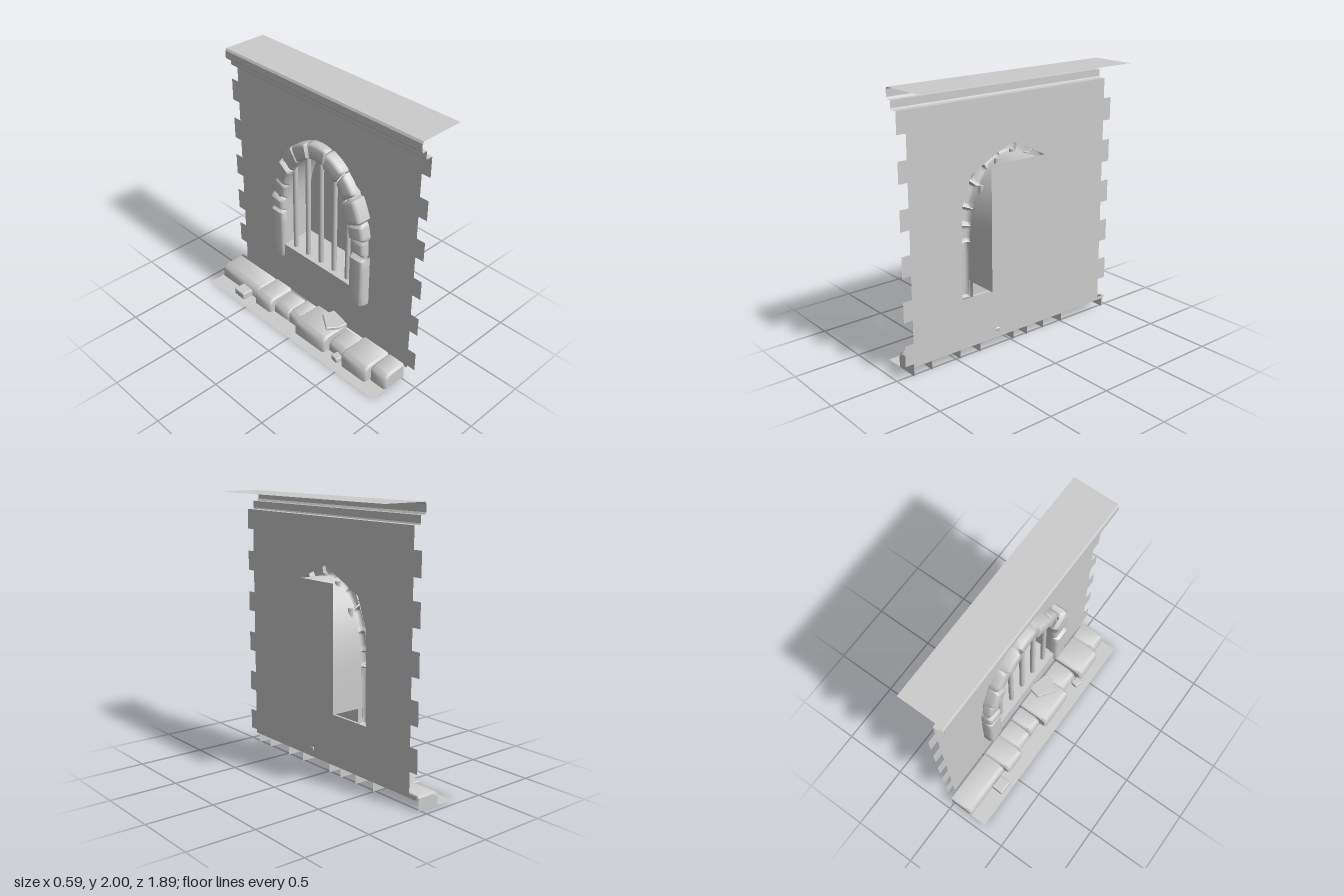
import * as THREE from 'three';
import { toCreasedNormals } from 'three/addons/utils/BufferGeometryUtils.js';
import { RoundedBoxGeometry } from 'three/addons/geometries/RoundedBoxGeometry.js';

const grey = new THREE.MeshStandardMaterial({ color: 0xcccccc, side: THREE.DoubleSide });
const WALL_X = 0.04, MID_Z = 0.01, SPRING = 0.86;

function add(parent, name, geometry) {
  const mesh = new THREE.Mesh(geometry, grey);
  mesh.name = name;
  parent.add(mesh);
  return mesh;
}

// Skin between successive rows of [x, y, z] points
function loft(rows, crease = 0.6) {
  const n = rows[0].length, index = [];
  for (let r = 0; r < rows.length - 1; r++) {
    for (let i = 0; i < n - 1; i++) {
      const a = r * n + i, b = a + n;
      index.push(a, b, a + 1, b, b + 1, a + 1);
    }
  }
  const g = new THREE.BufferGeometry();
  g.setAttribute('position', new THREE.Float32BufferAttribute(rows.flat(2), 3));
  g.setIndex(index);
  g.computeVertexNormals();
  return toCreasedNormals(g, crease);
}

// Turn a flat (z, y) drawing so that it faces -x
const faceOut = (g, x) => g.rotateY(-Math.PI / 2).translate(x, 0, 0);

// Stilted arch: u < 0 or u > PI follows the jambs, 0..PI the curve (from +z to -z)
function archPoint(u, a, b, foot) {
  if (u < 0) return [MID_Z + a, SPRING + u * (SPRING - foot)];
  if (u > Math.PI) return [MID_Z - a, SPRING - (u - Math.PI) * (SPRING - foot)];
  return [MID_Z + a * Math.cos(u), SPRING + b * Math.sin(u)];
}

function buildWall(group) {
  const s = new THREE.Shape();
  const steps = [1.71, 1.54, 1.39, 1.22, 1.07, 0.9, 0.75, 0.58, 0.43, 0.26, 0.106];
  s.moveTo(0.95, 1.86);
  // Interlocking toothed sides
  let z = 0.95;
  for (const y of steps) {
    s.lineTo(z, y);
    z = z === 0.95 ? 0.88 : 0.95;
    s.lineTo(z, y);
  }
  s.lineTo(z, 0.08);
  s.lineTo(-0.945, 0.08);
  z = -0.945;
  for (const y of [...steps].reverse()) {
    s.lineTo(z, y);
    z = z === -0.945 ? -0.875 : -0.945;
    s.lineTo(z, y);
  }
  s.lineTo(-0.875, 1.86);
  // Window hole
  const hole = [[0.465, 0.46], [0.46, 0.86], [0.45, 1.14], [0.37, 1.35], [0.15, 1.46], [0.01, 1.52],
    [-0.13, 1.46], [-0.35, 1.35], [-0.43, 1.14], [-0.44, 0.86], [-0.445, 0.46]];
  s.holes.push(new THREE.Path(hole.map(p => new THREE.Vector2(...p))));
  add(group, 'wall', faceOut(new THREE.ShapeGeometry(s), WALL_X));
}

function buildCornice(group) {
  const profile = [[WALL_X, 1.86], [-0.01, 1.86], [-0.015, 1.87], [-0.015, 1.92], [-0.05, 1.92],
    [-0.06, 1.935], [-0.06, 1.985], [-0.05, 2], [0.29, 2]];
  add(group, 'cornice', loft([0.95, -0.875].map(z => profile.map(([x, y]) => [x, y, z])), 0.3));
}

function buildWindow(group) {
  const frame = new THREE.Group();
  frame.name = 'windowFrame';
  group.add(frame);

  // Each block: start, end, protrusion, extra outer width
  const blocks = [[-1, -0.02, 0.045, 0], [0, 0.19, 0.025, -0.015], [0.2, 0.4, 0.045, 0.01],
    [0.41, 0.71, 0.07, 0.035], [0.72, 1.0, 0.03, 0], [1.01, 1.36, 0.045, 0.01],
    [1.37, 1.77, 0.03, 0.005], [1.78, 2.12, 0.04, 0], [2.13, 2.42, 0.03, 0.005],
    [2.43, 2.72, 0.045, 0], [2.73, 2.95, 0.03, -0.01], [2.96, 3.13, 0.045, 0],
    [3.15, Math.PI + 1, 0.04, 0]];
  for (const [u0, u1, depth, extra] of blocks) {
    const rows = [];
    const e = 0.03;
    for (const u of [u0, u0 + e, ...[0.25, 0.5, 0.75].map(t => u0 + (u1 - u0) * t), u1 - e, u1]) {
      const isEnd = u === u0 || u === u1;
      const d = isEnd ? Math.max(0.01, depth - 0.025) : depth;
      const grow = isEnd ? Math.min(0, extra) : extra;
      const inner = archPoint(u, 0.345, 0.58, 0.44);
      const outer = archPoint(u, 0.475 + grow, 0.7 + grow, 0.44);
      const at = (t, x) => [x, inner[1] + (outer[1] - inner[1]) * t, inner[0] + (outer[0] - inner[0]) * t];
      rows.push([at(0, 0.02), at(0, -d + 0.025), at(0.06, -d + 0.008), at(0.18, -d),
        at(0.82, -d), at(0.94, -d + 0.008), at(1, -d + 0.025), at(1, WALL_X)]);
    }
    add(frame, 'frameStone', loft(rows, 0.9));
  }

  // Flat sill between the jambs
  const sill = [[WALL_X, 0.44], [-0.02, 0.44], [-0.02, 0.56], [0.02, 0.56]];
  add(frame, 'sill', loft([0.36, -0.34].map(z => sill.map(([x, y]) => [x, y, z]))));

  // Deep arched recess with a rectangular plate closing it
  const rim = [[MID_Z - 0.35, 0.56]];
  for (let i = 24; i >= 0; i--) rim.push(archPoint(Math.PI * i / 24, 0.35, 0.59, 0.56));
  rim.push([MID_Z + 0.35, 0.56], rim[0]);
  add(group, 'recess', loft([0, 0.248].map(x => rim.map(([z, y]) => [x, y, z]))));
  const plate = new THREE.PlaneGeometry(0.71, 0.9).translate(MID_Z, 1.005, 0);
  add(group, 'recessBack', faceOut(plate, 0.25));

  // Bars
  for (let i = -2; i <= 2; i++) {
    const z = MID_Z + i * 0.135;
    const top = SPRING + 0.59 * Math.sqrt(1 - (i * 0.135 / 0.35) ** 2) + 0.02;
    const bar = add(group, 'bar', new THREE.CylinderGeometry(0.019, 0.019, top - 0.55, 8));
    bar.position.set(0.03, (top + 0.55) / 2, z);
  }
}

function buildBase(group) {
  // Each stone: z start, z end, depth towards -x, height
  const stones = [[-0.945, -0.5, 0.17, 0.106], [-0.5, -0.315, 0.21, 0.115], [-0.315, -0.15, 0.17, 0.085],
    [-0.15, -0.02, 0.17, 0.1], [-0.02, 0.295, 0.225, 0.13], [0.295, 0.475, 0.17, 0.09],
    [0.475, 0.72, 0.225, 0.13], [0.72, 0.87, 0.175, 0.125]];
  for (const [z0, z1, d, h] of stones) {
    const section = (z, k) => [[-d + k, 0, z], [-d + k, h - 0.045, z], [-d + k + 0.015, h - k - 0.015, z],
      [-d + k + 0.045, h - k, z], [0.02, h - k, z]];
    add(group, 'baseStone', loft([section(z0, 0.015), section(z0 + 0.015, 0),
      section(z1 - 0.015, 0), section(z1, 0.015)], 0.9));
    // Closed ends
    for (const z of [z0, z1]) {
      const outline = section(z, 0.015).map(p => new THREE.Vector2(p[0], p[1]));
      outline.push(new THREE.Vector2(0.02, 0));
      add(group, 'stoneEnd', new THREE.ShapeGeometry(new THREE.Shape(outline)).translate(0, 0, z));
    }
  }

  // Loose stones in front
  for (const [x, y, z, w, h, l, turn] of [[-0.22, 0.042, -0.62, 0.095, 0.055, 0.115, -0.05],
    [-0.215, 0.04, 0.43, 0.06, 0.045, 0.07, -0.2]]) {
    const rock = add(group, 'looseStone', new RoundedBoxGeometry(w, h, l, 2, 0.01));
    rock.position.set(x, y, z);
    rock.rotation.y = turn;
  }

  // Flat slab lying on the base
  const slab = [[-0.14, 0.24], [-0.06, 0.3], [0.01, 0.31], [0.05, 0.135], [-0.05, 0.11]];
  const shape = new THREE.Shape(slab.map(([x, z]) => new THREE.Vector2(x, -z)));
  const g = new THREE.ExtrudeGeometry(shape, { depth: 0.018, bevelSize: 0.006, bevelOffset: -0.006,
    bevelThickness: 0.006, bevelSegments: 1 });
  add(group, 'slab', g.rotateX(-Math.PI / 2).translate(0, 0.133, 0));

  // Ground strip
  const strip = new THREE.PlaneGeometry(0.13, 1.815).rotateX(-Math.PI / 2);
  add(group, 'groundStrip', strip.translate(-0.235, 0, -0.0375));
}

export function createModel() {
  const group = new THREE.Group();
  group.name = 'wallWithBarredWindow';
  buildWall(group);
  buildCornice(group);
  buildWindow(group);
  buildBase(group);
  return group;
}
